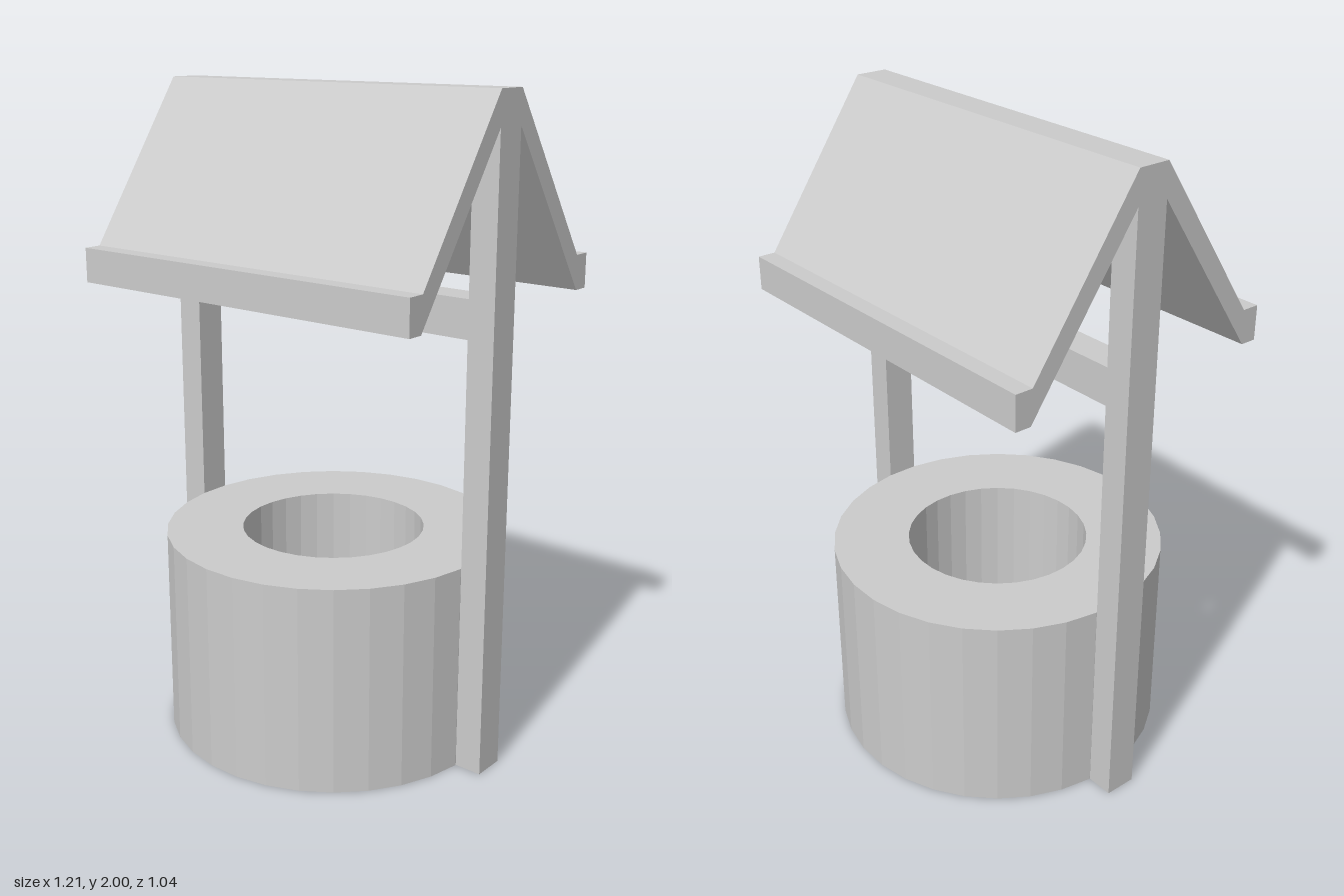
import * as THREE from 'three';

const material = new THREE.MeshStandardMaterial({ color: 0xcccccc, flatShading: true });

function addMesh(group, name, geometry, x = 0, y = 0, z = 0) {
  const mesh = new THREE.Mesh(geometry, material);
  mesh.name = name;
  mesh.position.set(x, y, z);
  group.add(mesh);
  return mesh;
}

export function createModel() {
  const group = new THREE.Group();
  group.name = 'well';

  const halfWidth = 0.605;
  const postInner = 0.52;
  const postDepth = 0.1;

  // Round basin: thick wall with a closed floor
  const sides = 32;
  const outer = postInner / Math.cos(Math.PI / sides);
  const inner = 0.285;
  const basinProfile = [
    [0, 0], [outer, 0], [outer, 0.64], [inner, 0.64], [inner, 0.1], [0, 0.1],
  ].map(([r, y]) => new THREE.Vector2(r, y));
  addMesh(group, 'basin', new THREE.LatheGeometry(basinProfile, sides, Math.PI / sides));

  // Posts on both sides, reaching into the ridge
  const postWidth = halfWidth - postInner;
  const postHeight = 1.9;
  for (const [name, side] of [['leftPost', 1], ['rightPost', -1]]) {
    addMesh(group, name, new THREE.BoxGeometry(postWidth, postHeight, postDepth),
      side * (postInner + postWidth / 2), postHeight / 2, 0);
  }

  // Crossbeam between the posts
  const beamBottom = 1.32, beamHeight = 0.115;
  addMesh(group, 'crossbeam', new THREE.BoxGeometry(postInner * 2, beamHeight, postDepth),
    0, beamBottom + beamHeight / 2, 0);

  // Gable roof with a flat ridge and small eaves, extruded along x
  const half = [[0.05, 2], [0.385, 1.51], [0.44, 1.51], [0.44, 1.405], [0.39, 1.405], [0.05, 1.9]];
  const mirrored = half.map(([z, y]) => [-z, y]).reverse();
  const roofShape = new THREE.Shape([...half, ...mirrored].map(([z, y]) => new THREE.Vector2(z, y)));
  const roof = new THREE.ExtrudeGeometry(roofShape, { depth: halfWidth * 2, bevelEnabled: false });
  roof.translate(0, 0, -halfWidth).rotateY(Math.PI / 2);
  addMesh(group, 'roof', roof);

  return group;
}
